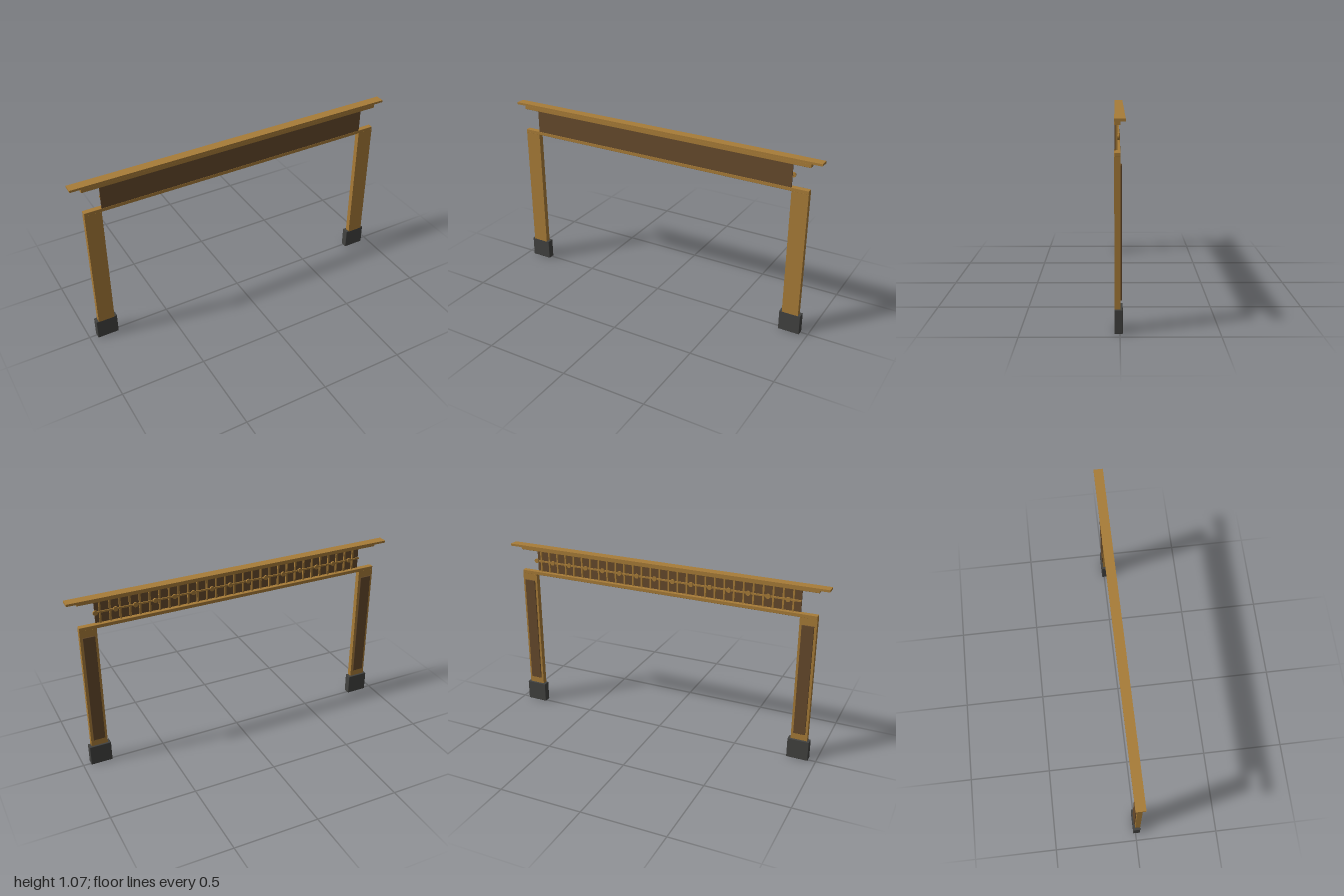
import * as THREE from 'three';
import { RoundedBoxGeometry } from 'three/addons/geometries/RoundedBoxGeometry.js';

const wood = new THREE.MeshStandardMaterial({ color: 0xa87c38 });
const darkWood = new THREE.MeshStandardMaterial({ color: 0x664a2c });
const stone = new THREE.MeshStandardMaterial({ color: 0x424240 });

// Box given by its [min, max] range on each axis, with an optional edge radius
function box(name, material, [x0, x1], [y0, y1], [z0, z1], radius = 0) {
  const size = [x1 - x0, y1 - y0, z1 - z0];
  const geometry = radius
    ? new RoundedBoxGeometry(...size, 1, radius)
    : new THREE.BoxGeometry(...size);
  const mesh = new THREE.Mesh(geometry, material);
  mesh.name = name;
  mesh.position.set((x0 + x1) / 2, (y0 + y1) / 2, (z0 + z1) / 2);
  return mesh;
}

function createPost(side) {
  const post = new THREE.Group();
  post.name = side > 0 ? 'leftPost' : 'rightPost';
  const span = (a, b) => (side > 0 ? [a, b] : [-b, -a]);
  post.add(
    box('base', stone, span(0.826, 0.955), [0, 0.123], [-0.014, 0.028], 0.003),
    box('shaft', wood, span(0.842, 0.94), [0.12, 0.882], [-0.003, 0.028]),
    box('insetPanel', darkWood, span(0.856, 0.926), [0.163, 0.84], [-0.009, -0.002], 0.002),
  );
  return post;
}

// Solid panel on the front, ribs, rail and round bosses on the back
function createFrieze() {
  const frieze = new THREE.Group();
  frieze.name = 'frieze';
  frieze.add(
    box('friezePanel', darkWood, [-0.84, 0.84], [0.9, 1.035], [0.021, 0.027]),
    box('rail', wood, [-0.84, 0.84], [0.964, 0.974], [0.008, 0.014]),
  );
  const pitch = 0.1148;
  const bossGeometry = new THREE.CylinderGeometry(0.014, 0.014, 0.009, 16).rotateX(Math.PI / 2);
  for (let i = 0; i < 15; i++) {
    const x = 0.84 - i * pitch;
    const boss = new THREE.Mesh(bossGeometry, wood);
    boss.name = 'boss';
    boss.position.set(x, 0.969, 0.0075);
    frieze.add(boss);
    for (const offset of [0.25, 0.75]) {
      const ribX = x - offset * pitch;
      if (ribX < -0.83) continue;
      frieze.add(box('rib', wood, [ribX - 0.005, ribX + 0.005], [0.9, 1.035], [0.012, 0.022]));
    }
  }
  return frieze;
}

export function createModel() {
  const model = new THREE.Group();
  model.name = 'gateway';
  model.add(createPost(1), createPost(-1), createFrieze());
  // Horizontal members from bottom to top
  model.add(
    box('lintel', wood, [-0.94, 0.94], [0.881, 0.902], [-0.003, 0.028], 0.002),
    box('upperBeam', wood, [-0.94, 0.94], [1.034, 1.057], [-0.003, 0.028], 0.002),
    box('cornice', wood, [-1, 1], [1.056, 1.069], [-0.027, 0.028]),
  );
  return model;
}
